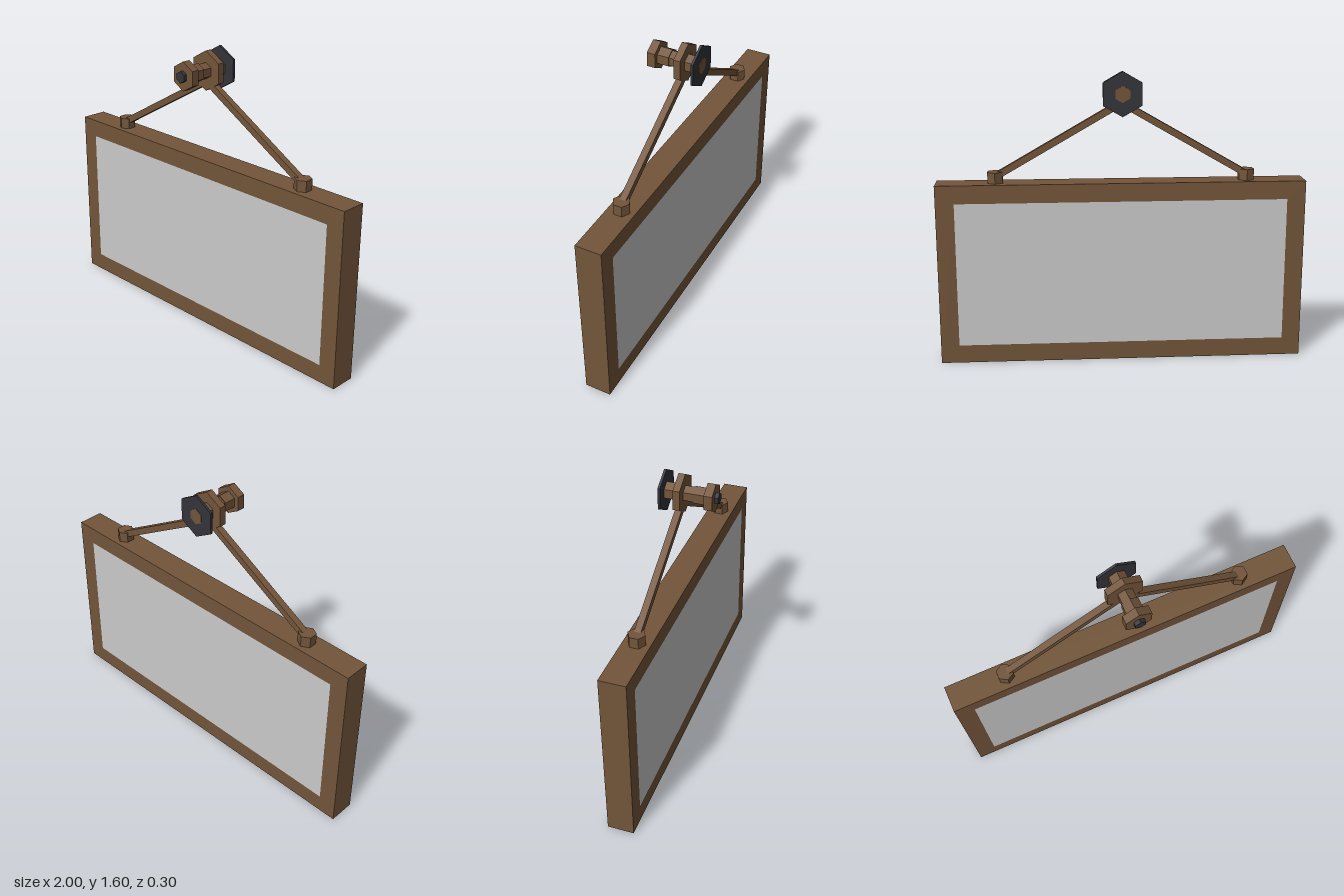
import * as THREE from 'three';

export function createModel() {
  const mat = (name, color) => {
    const m = new THREE.MeshStandardMaterial({ color, flatShading: true });
    m.name = name;
    return m;
  };
  const wood = mat('brown wood', 0x73553a);
  const face = mat('pale grey panel', 0xcbcbcb);
  const iron = mat('dark iron', 0x33343a);

  const model = new THREE.Group();
  model.name = 'hangingSign';
  const add = (name, geometry, material, parent = model) => {
    const mesh = new THREE.Mesh(geometry, material);
    mesh.name = name;
    parent.add(mesh);
    return mesh;
  };

  // Board: picture-frame border with a flush panel filling its opening
  const front = 0.02, depth = 0.145, border = 0.1;
  const rect = (Type, x0, y0, x1, y1) => new Type([
    new THREE.Vector2(x0, y0), new THREE.Vector2(x1, y0),
    new THREE.Vector2(x1, y1), new THREE.Vector2(x0, y1),
  ]);
  const outline = rect(THREE.Shape, -1, 0, 1, 1);
  outline.holes.push(rect(THREE.Path, -1 + border, border, 1 - border, 1 - border));
  const frame = new THREE.ExtrudeGeometry(outline, { depth, bevelEnabled: false });
  add('boardFrame', frame, wood).position.z = front - depth;
  add('signPanel', new THREE.BoxGeometry(2 - 2 * border, 1 - 2 * border, depth), face)
    .position.set(0, 0.5, front - depth / 2);

  // Hanger: a hexagonal foot and a sloping square rod on each side
  const midZ = -0.052;
  for (const side of [-1, 1]) {
    const hanger = new THREE.Group();
    hanger.name = side > 0 ? 'leftHanger' : 'rightHanger';
    model.add(hanger);
    add('foot', new THREE.CylinderGeometry(0.047, 0.047, 0.06, 6), wood, hanger)
      .position.set(side * 0.68, 1.03, midZ);
    const low = new THREE.Vector2(side * 0.68, 1.033);
    const high = new THREE.Vector2(side * 0.02, 1.413);
    const span = high.clone().sub(low);
    const rod = add('rod', new THREE.BoxGeometry(span.length(), 0.036, 0.036), wood, hanger);
    rod.position.set((low.x + high.x) / 2, (low.y + high.y) / 2, midZ);
    rod.rotation.z = span.angle();
  }

  // Wall bracket: hexagonal pieces stacked along z, point upward
  const bracket = new THREE.Group();
  bracket.name = 'wallBracket';
  bracket.position.y = 1.48;
  model.add(bracket);
  const hex = (name, radius, z0, z1, material) => {
    const g = new THREE.CylinderGeometry(radius, radius, z1 - z0, 6).rotateX(Math.PI / 2);
    add(name, g, material, bracket).position.z = (z0 + z1) / 2;
  };
  hex('wallPlate', 0.12, -0.148, -0.135, iron);
  hex('wallPlateCore', 0.045, -0.15, -0.147, wood);
  hex('rearCollar', 0.05, -0.135, -0.07, wood);
  hex('hangerRing', 0.109, -0.071, -0.034, wood);
  hex('shaft', 0.045, -0.04, 0.09, wood);
  hex('frontCollar', 0.051, 0.02, 0.088, wood);
  hex('endCap', 0.08, 0.085, 0.13, wood);
  hex('endPin', 0.032, 0.125, 0.15, iron);

  return model;
}
